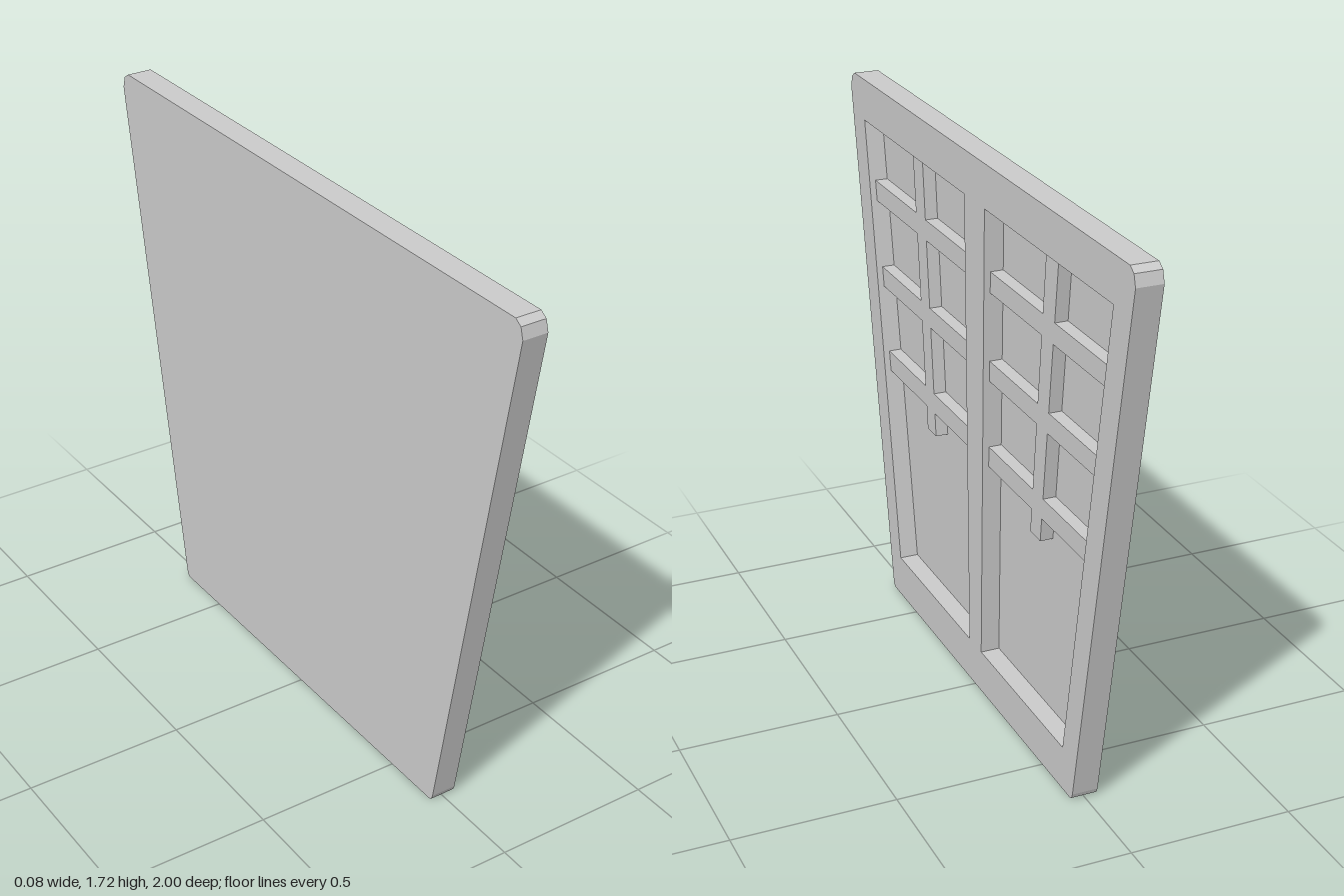
import * as THREE from 'three';

// x levels: back face, recess floor, lattice face, frame face
const BACK = -0.04, FLOOR = -0.02, LATTICE = 0.02, FACE = 0.04;

// Half outline of the tapered board, bottom to top, as [z, y]
const HALF = [[0.69, 0], [0.7, 0.006], [0.705, 0.02], [1, 1.67], [0.99, 1.705], [0.968, 1.72]];

// Recessed panel: bottom and top heights with inner and outer edges
const Y0 = 0.138, Y1 = 1.587;
const lerpY = (ya, a, yb, b) => (y) => a + ((b - a) * (y - ya)) / (yb - ya);
const inner = lerpY(Y0, 0.046, Y1, 0.073);
const outer = lerpY(Y0, 0.635, Y1, 0.884);

// Upright bar edges and cross bar heights [top, bottom]
const STUB = 0.7;
const barOuter = lerpY(STUB, 0.425, Y1, 0.522);
const barInner = lerpY(STUB, 0.357, Y1, 0.444);
const CROSS = [[1.395, 1.33], [1.117, 1.053], [0.84, 0.775]];

const toPoints = (pts, side = 1) => pts.map(([z, y]) => new THREE.Vector2(z * side, y));

export function createModel() {
  const group = new THREE.Group();
  const material = new THREE.MeshStandardMaterial({ color: 0xcccccc, flatShading: true });

  // Extrude a side-on shape between two x levels
  const addSlab = (name, shape, x0, x1) => {
    const geometry = new THREE.ExtrudeGeometry(shape, { depth: x1 - x0, bevelEnabled: false });
    geometry.rotateY(Math.PI / 2).translate(x0, 0, 0);
    const mesh = new THREE.Mesh(geometry, material);
    mesh.name = name;
    group.add(mesh);
  };

  const outline = toPoints([...HALF, ...HALF.map(([z, y]) => [-z, y]).reverse()]);

  // Solid backing board
  addSlab('backPanel', new THREE.Shape(outline), BACK, FLOOR);

  // Frame with two tapered openings
  const frame = new THREE.Shape(outline);
  const opening = [[inner(Y0), Y0], [outer(Y0), Y0], [outer(Y1), Y1], [inner(Y1), Y1]];
  for (const side of [1, -1]) frame.holes.push(new THREE.Path(toPoints(opening, side)));
  addSlab('frame', frame, FLOOR, FACE);

  // Lattice: down the outer edge of the upright, back up the inner edge
  const edge = (bar, reach) => [
    [bar(Y1), Y1],
    ...CROSS.flatMap(([t, b]) => [[bar(t), t], [reach(t), t], [reach(b), b], [bar(b), b]]),
    [bar(STUB), STUB],
  ];
  const lattice = [...edge(barOuter, outer), ...edge(barInner, inner).reverse()];
  for (const [name, side] of [['rearLattice', 1], ['frontLattice', -1]]) {
    addSlab(name, new THREE.Shape(toPoints(lattice, side)), FLOOR, LATTICE);
  }

  return group;
}
